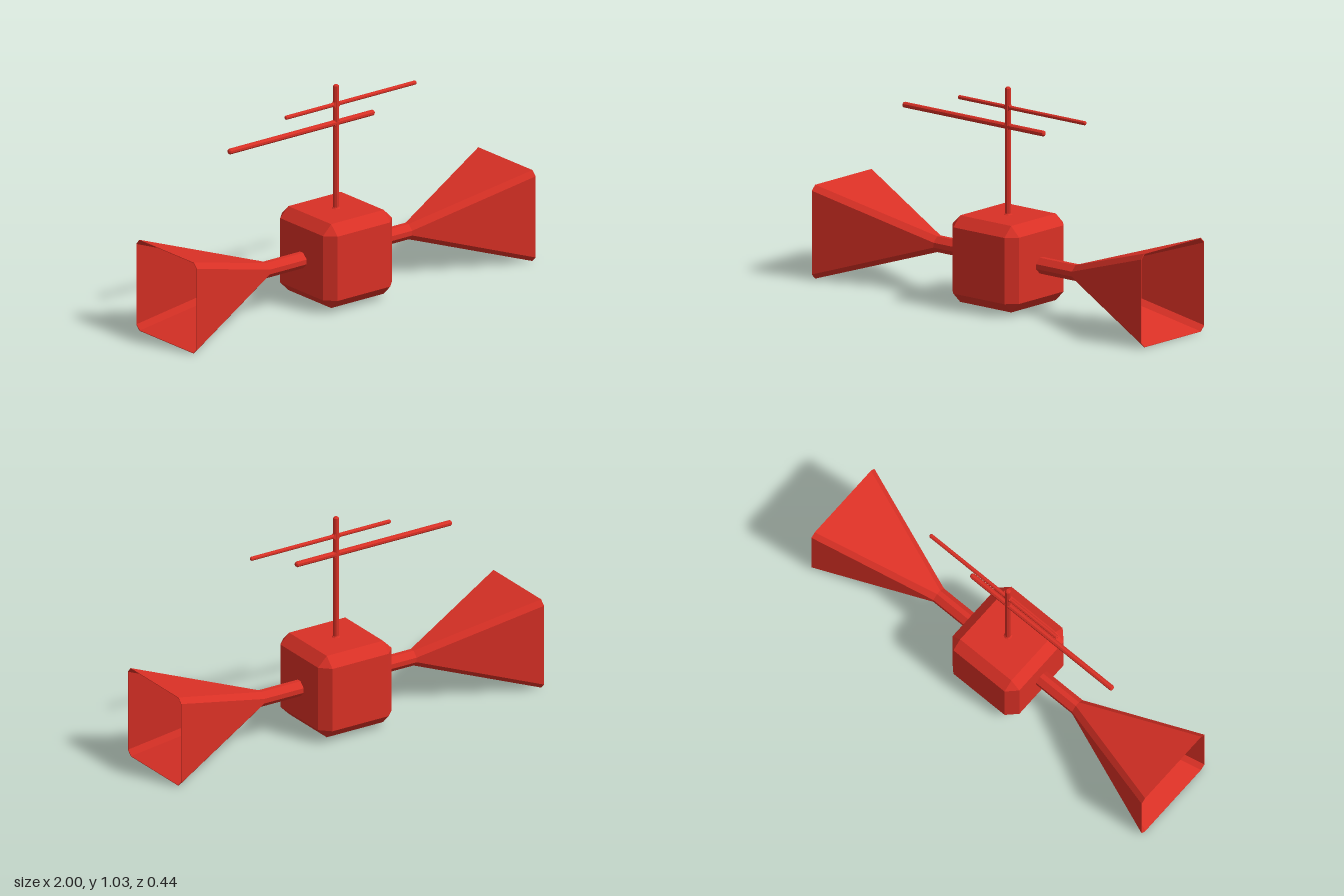
import * as THREE from 'three';
import { ConvexGeometry } from 'three/addons/geometries/ConvexGeometry.js';

const CENTER_Y = 0.2225;

// Faceted copy of a geometry
function flat(geo) {
  const g = geo.index ? geo.toNonIndexed() : geo;
  g.computeVertexNormals();
  return g;
}

// Cube with chamfered edges and corners
function chamferBox(hx, hy, hz, c) {
  const pts = [];
  for (const x of [-1, 1]) for (const y of [-1, 1]) for (const z of [-1, 1]) {
    pts.push(
      new THREE.Vector3(x * hx, y * (hy - c), z * (hz - c)),
      new THREE.Vector3(x * (hx - c), y * hy, z * (hz - c)),
      new THREE.Vector3(x * (hx - c), y * (hy - c), z * hz));
  }
  return new ConvexGeometry(pts);
}

// Eight-sided rod along y with bevelled ends
function rod(r, length) {
  const R = r / Math.cos(Math.PI / 8), h = length / 2, b = r * 0.45;
  const profile = [[0, -h], [R - b, -h], [R, -h + b], [R, h - b], [R - b, h], [0, h]]
    .map(([x, y]) => new THREE.Vector2(x, y));
  return flat(new THREE.LatheGeometry(profile, 8, Math.PI / 8));
}

// Arm and flared horn: chamfered square sections [x, half size, chamfer],
// running out along the outside and back down the inside
function horn(side) {
  const sections = [
    [0.15, 0.0375, 0.026], [0.42, 0.0375, 0.026], [1.0, 0.2225, 0.024],
    [1.0, 0.22, 0.024], [0.57, 0.08, 0.025], [0.55, 0.043, 0.003],
  ];
  const pos = [], index = [];
  const tri = (a, b, c) => (side > 0 ? index.push(a, b, c) : index.push(a, c, b));
  for (const [x, h, c] of sections) {
    const f = h - c;
    for (const [y, z] of [[f, h], [h, f], [h, -f], [f, -h], [-f, -h], [-h, -f], [-h, f], [-f, h]]) {
      pos.push(side * x, y, z);
    }
  }
  for (let s = 0; s < sections.length - 1; s++) {
    for (let i = 0; i < 8; i++) {
      const a = s * 8 + i, b = s * 8 + (i + 1) % 8;
      tri(a, a + 8, b);
      tri(b, a + 8, b + 8);
    }
  }
  // Floor of the horn
  const last = (sections.length - 1) * 8;
  for (let i = 1; i < 7; i++) tri(last, last + i + 1, last + i);
  const g = new THREE.BufferGeometry();
  g.setAttribute('position', new THREE.Float32BufferAttribute(pos, 3));
  g.setIndex(index);
  return flat(g);
}

export function createModel() {
  const group = new THREE.Group();
  const red = new THREE.MeshStandardMaterial({ color: 0xd93025, side: THREE.DoubleSide });
  red.name = 'red';

  const add = (name, geo, x, y, z = 0) => {
    const mesh = new THREE.Mesh(geo, red);
    mesh.name = name;
    mesh.position.set(x, y, z);
    group.add(mesh);
    return mesh;
  };

  // Body and the two horns
  add('body', chamferBox(0.203, 0.205, 0.205, 0.048), 0, 0.225);
  add('leftHorn', horn(1), 0, CENTER_Y);
  add('rightHorn', horn(-1), 0, CENTER_Y);

  // Mast with a small collar at its foot
  add('mast', rod(0.0125, 0.633), 0, 0.7175);
  add('mastCollar', flat(new THREE.CylinderGeometry(0.0125, 0.021, 0.008, 8)), 0, 0.433);

  // Crossbars [name, y, from x, to x, radius] with diamond joints
  const bars = [
    ['lowerCrossbar', 0.848, -0.635, 0.223, 0.0125],
    ['upperCrossbar', 0.938, -0.3, 0.472, 0.009],
  ];
  for (const [name, y, x0, x1, r] of bars) {
    add(name, rod(r, x1 - x0), (x0 + x1) / 2, y).rotation.z = Math.PI / 2;
    const joint = flat(new THREE.CylinderGeometry(0.023, 0.023, 0.02, 4));
    add(name + 'Joint', joint, 0, y).rotation.x = Math.PI / 2;
  }
  return group;
}
